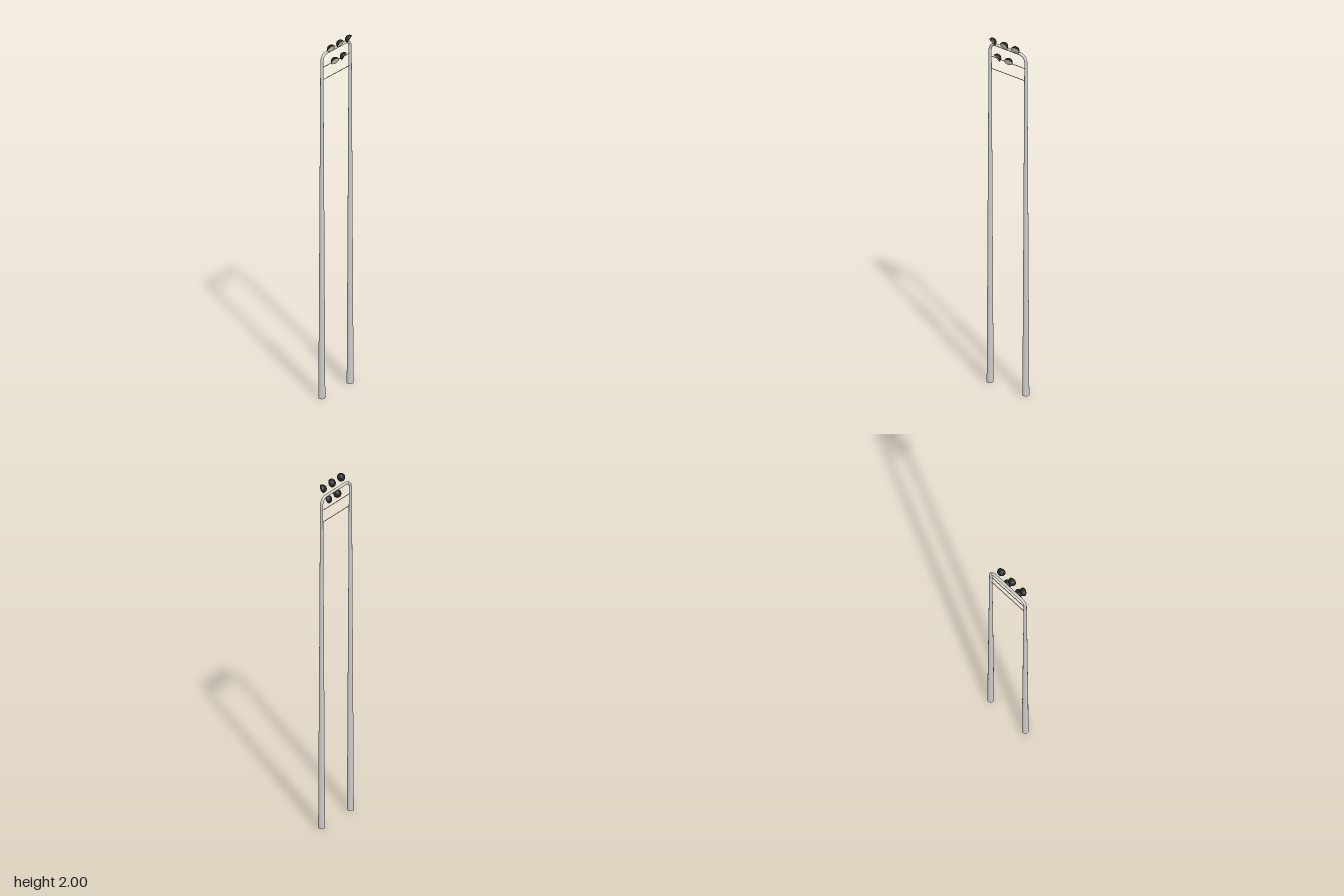
import * as THREE from 'three';

const LEG_X = 0.125, FRAME_Z = -0.015;
const LEG_TOP = 1.91, ARCH_Y = 1.95, TUBE_R = 0.008;

export function createModel() {
  const model = new THREE.Group();
  model.name = 'floodlightMast';
  const grey = new THREE.MeshStandardMaterial({ color: 0xcccccc });
  const black = new THREE.MeshStandardMaterial({ color: 0x222222, side: THREE.DoubleSide });
  const cream = new THREE.MeshStandardMaterial({ color: 0xf2dfbd });

  function add(parent, name, geometry, material, x = 0, y = 0, z = 0) {
    const mesh = new THREE.Mesh(geometry, material);
    mesh.name = name;
    mesh.position.set(x, y, z);
    parent.add(mesh);
    return mesh;
  }

  // Tapered legs
  const legGeometry = new THREE.CylinderGeometry(TUBE_R, 0.018, LEG_TOP, 32);
  for (const side of [-1, 1]) {
    add(model, side > 0 ? 'leftLeg' : 'rightLeg', legGeometry, grey, side * LEG_X, LEG_TOP / 2, FRAME_Z);
  }

  // Rounded arch joining the legs
  const r = ARCH_Y - LEG_TOP, k = r * 0.448;
  const v = (x, y) => new THREE.Vector3(x, y, 0);
  const arch = new THREE.CurvePath();
  arch.add(new THREE.CubicBezierCurve3(
    v(-LEG_X, LEG_TOP), v(-LEG_X, ARCH_Y - k), v(-LEG_X + k, ARCH_Y), v(-LEG_X + r, ARCH_Y)));
  arch.add(new THREE.LineCurve3(v(-LEG_X + r, ARCH_Y), v(LEG_X - r, ARCH_Y)));
  arch.add(new THREE.CubicBezierCurve3(
    v(LEG_X - r, ARCH_Y), v(LEG_X - k, ARCH_Y), v(LEG_X, ARCH_Y - k), v(LEG_X, LEG_TOP)));
  add(model, 'topArch', new THREE.TubeGeometry(arch, 64, TUBE_R, 24), grey, 0, 0, FRAME_Z);

  // Thin crossbars
  const barGeometry = new THREE.CylinderGeometry(0.002, 0.002, LEG_X * 2, 12).rotateZ(Math.PI / 2);
  for (const y of [1.875, 1.805]) add(model, 'crossbar', barGeometry, grey, 0, y, FRAME_Z);

  // Lamps: domed housing with a flat lens, tipped down and fanned sideways
  const R = 0.023;
  const domeGeometry = new THREE.SphereGeometry(R, 32, 16, 0, Math.PI * 2, 0, Math.PI / 2).rotateX(-Math.PI / 2);
  const rimGeometry = new THREE.RingGeometry(R * 0.92, R, 32);
  const lensGeometry = new THREE.CircleGeometry(R * 0.92, 32);
  const lamps = [
    [-0.083, 1.977, -0.32], [-0.002, 1.977, 0], [0.077, 1.977, 0.32],
    [-0.05, 1.895, -0.32], [0.03, 1.895, 0.32],
  ];
  for (const [x, y, turn] of lamps) {
    const lamp = new THREE.Group();
    lamp.name = 'lamp';
    lamp.position.set(x, y, 0.016);
    lamp.rotation.set(0.52, turn, 0, 'YXZ');
    add(lamp, 'housing', domeGeometry, black);
    add(lamp, 'rim', rimGeometry, black);
    add(lamp, 'lens', lensGeometry, cream);
    model.add(lamp);
  }
  return model;
}
